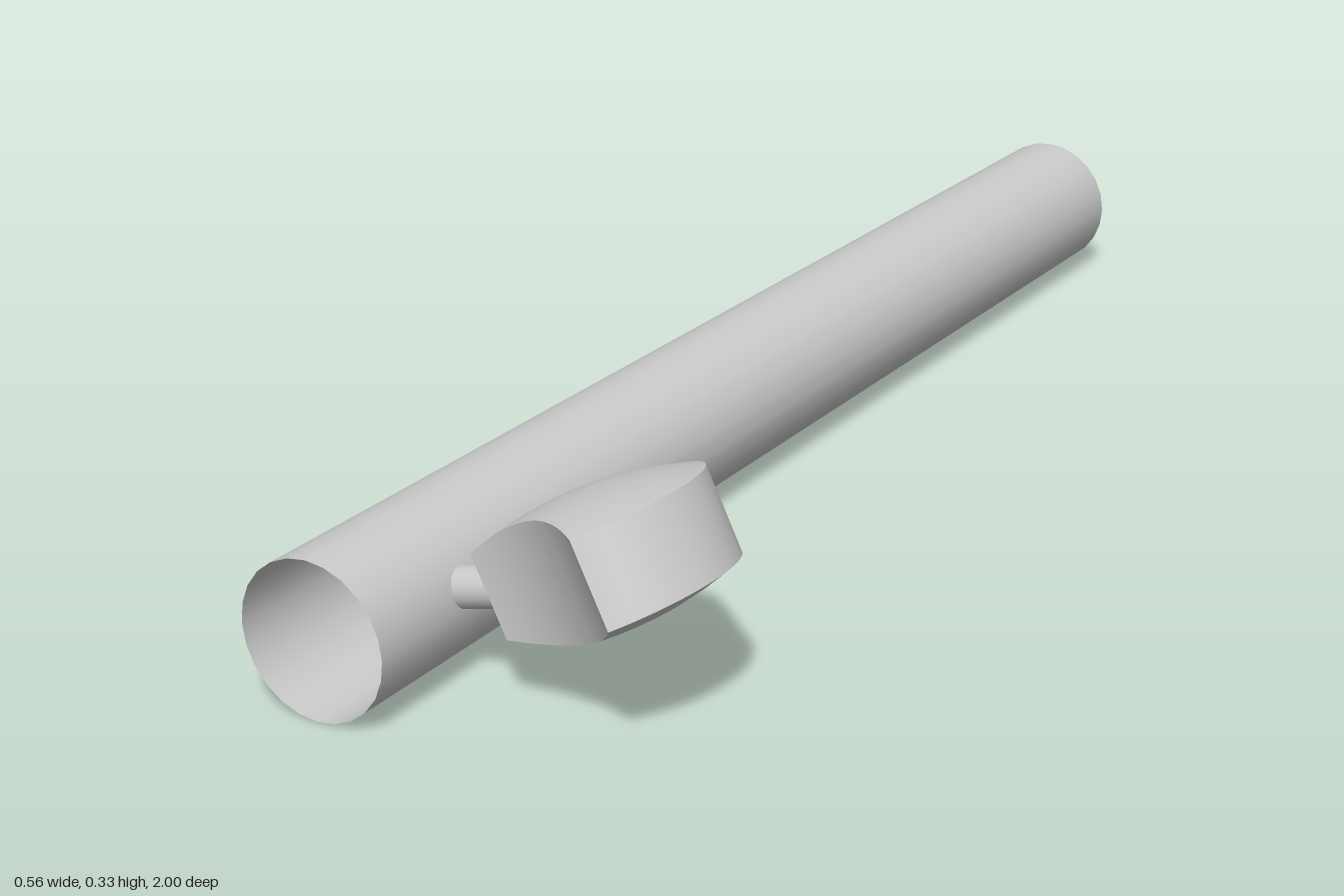
import * as THREE from 'three';
import { toCreasedNormals } from 'three/addons/utils/BufferGeometryUtils.js';

const grey = new THREE.MeshStandardMaterial({ color: 0xcccccc, side: THREE.DoubleSide });

function addMesh(parent, name, geometry, x, y, z) {
  const mesh = new THREE.Mesh(geometry, grey);
  mesh.name = name;
  mesh.position.set(x, y, z);
  parent.add(mesh);
  return mesh;
}

// Domed disc with a concave bite taken out of its front edge
function headGeometry(R, half, dome) {
  const startAngle = 2.84, endAngle = Math.PI * 2 + 1.02;
  const onCircle = (t) => new THREE.Vector2(R * Math.cos(t), R * Math.sin(t));
  const outline = [];
  const arcSteps = 48, biteSteps = 20;
  for (let i = 0; i < arcSteps; i++) {
    outline.push(onCircle(startAngle + (endAngle - startAngle) * i / arcSteps));
  }
  const bite = new THREE.QuadraticBezierCurve(
    onCircle(endAngle), new THREE.Vector2(-0.022, 0.041), onCircle(startAngle));
  outline.push(...bite.getPoints(biteSteps).slice(0, -1));

  // Rings run from the top centre over the rim to the bottom centre
  const scales = [0, 0.2, 0.4, 0.6, 0.8, 1];
  const rings = [...scales.map((s) => [s, 1]), ...scales.toReversed().map((s) => [s, -1])];
  const positions = [], index = [], n = outline.length;
  for (const [s, side] of rings) {
    for (const p of outline) {
      const x = p.x * s, z = p.y * s;
      const lift = dome * (1 - (x * x + z * z) / (R * R));
      positions.push(x, side * (half + lift), z);
    }
  }
  for (let j = 0; j < rings.length - 1; j++) {
    for (let i = 0; i < n; i++) {
      const k = (i + 1) % n;
      const a = j * n + i, b = a + n, c = (j + 1) * n + k, d = j * n + k;
      if (rings[j][0] > 0) index.push(a, d, c);
      if (rings[j + 1][0] > 0) index.push(a, c, b);
    }
  }
  const geometry = new THREE.BufferGeometry();
  geometry.setAttribute('position', new THREE.Float32BufferAttribute(positions, 3));
  geometry.setIndex(index);
  return toCreasedNormals(geometry, 0.6);
}

export function createModel() {
  const model = new THREE.Group();
  model.name = 'handledTube';

  // Long tube, open at the front and closed at the back
  const tubeX = -0.178, tubeY = 0.105, tubeR = 0.105;
  const tube = new THREE.CylinderGeometry(tubeR, tubeR, 2, 24, 1, true).rotateX(Math.PI / 2);
  addMesh(model, 'tube', tube, tubeX, tubeY, 0);
  const cap = new THREE.CircleGeometry(tubeR, 24).rotateY(Math.PI);
  addMesh(model, 'tubeBackCap', cap, tubeX, tubeY, -1);

  // Short stem joining the tube and the knob
  const stemLength = 0.11, stemTilt = 0.235;
  const stemGeometry = new THREE.CylinderGeometry(0.027, 0.027, stemLength, 24)
    .rotateZ(-Math.PI / 2).translate(stemLength / 2, 0, 0);
  addMesh(model, 'stem', stemGeometry, -0.084, 0.129, 0.832).rotation.z = stemTilt;

  // Tilted knob
  addMesh(model, 'knob', headGeometry(0.153, 0.056, 0.028), 0.1195, 0.21, 0.827).rotation.z = 0.437;

  return model;
}
